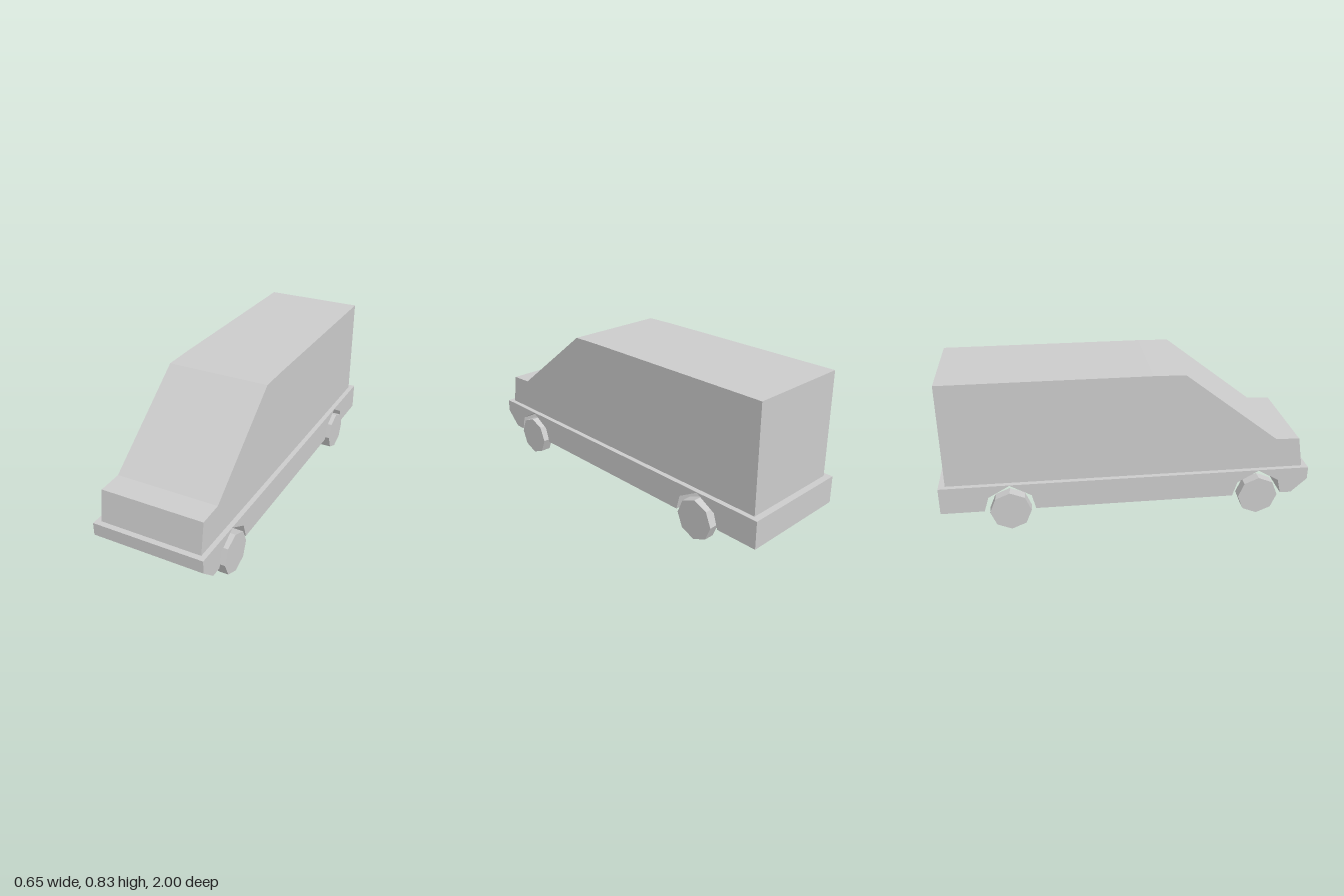
import * as THREE from 'three';

const material = new THREE.MeshStandardMaterial({ color: 0xcccccc, flatShading: true });

// Extrudes a side profile of [z, y] points across the width, centred on x = 0
function sideExtrusion(name, points, width) {
  const shape = new THREE.Shape(points.map(([z, y]) => new THREE.Vector2(z, y)));
  const geometry = new THREE.ExtrudeGeometry(shape, { depth: width, bevelEnabled: false });
  geometry.translate(0, 0, -width / 2).rotateY(-Math.PI / 2);
  const mesh = new THREE.Mesh(geometry, material);
  mesh.name = name;
  return mesh;
}

// Angular wheel arch outline, running from rear to front
const wheelArch = (z) => [
  [z - 0.139, 0.11], [z - 0.114, 0.192], [z, 0.257], [z + 0.114, 0.192], [z + 0.134, 0.11],
];

export function createModel() {
  const group = new THREE.Group();
  group.name = 'van';
  const axles = { rear: -0.63, front: 0.72 };

  // Lower body with wheel arches cut through its full width
  group.add(sideExtrusion('lowerBody', [
    [-1, 0.11],
    ...wheelArch(axles.rear),
    ...wheelArch(axles.front),
    [0.915, 0.11], [1, 0.19], [1, 0.26], [-1, 0.26],
  ], 0.614));

  // Bonnet, windscreen slope and cargo box
  group.add(sideExtrusion('upperBody', [
    [-0.965, 0.26], [0.97, 0.26], [0.94, 0.427], [0.81, 0.433],
    [0.3, 0.827], [0.13, 0.83], [-0.965, 0.83],
  ], 0.56));

  // Eight-sided wheels
  const wheelGeometry = new THREE.CylinderGeometry(0.11, 0.11, 0.058, 8).rotateZ(Math.PI / 2);
  for (const [axle, z] of Object.entries(axles)) {
    for (const side of [-1, 1]) {
      const wheel = new THREE.Mesh(wheelGeometry, material);
      wheel.name = axle + (side > 0 ? 'LeftWheel' : 'RightWheel');
      wheel.position.set(side * 0.294, 0.11, z);
      group.add(wheel);
    }
  }
  return group;
}
